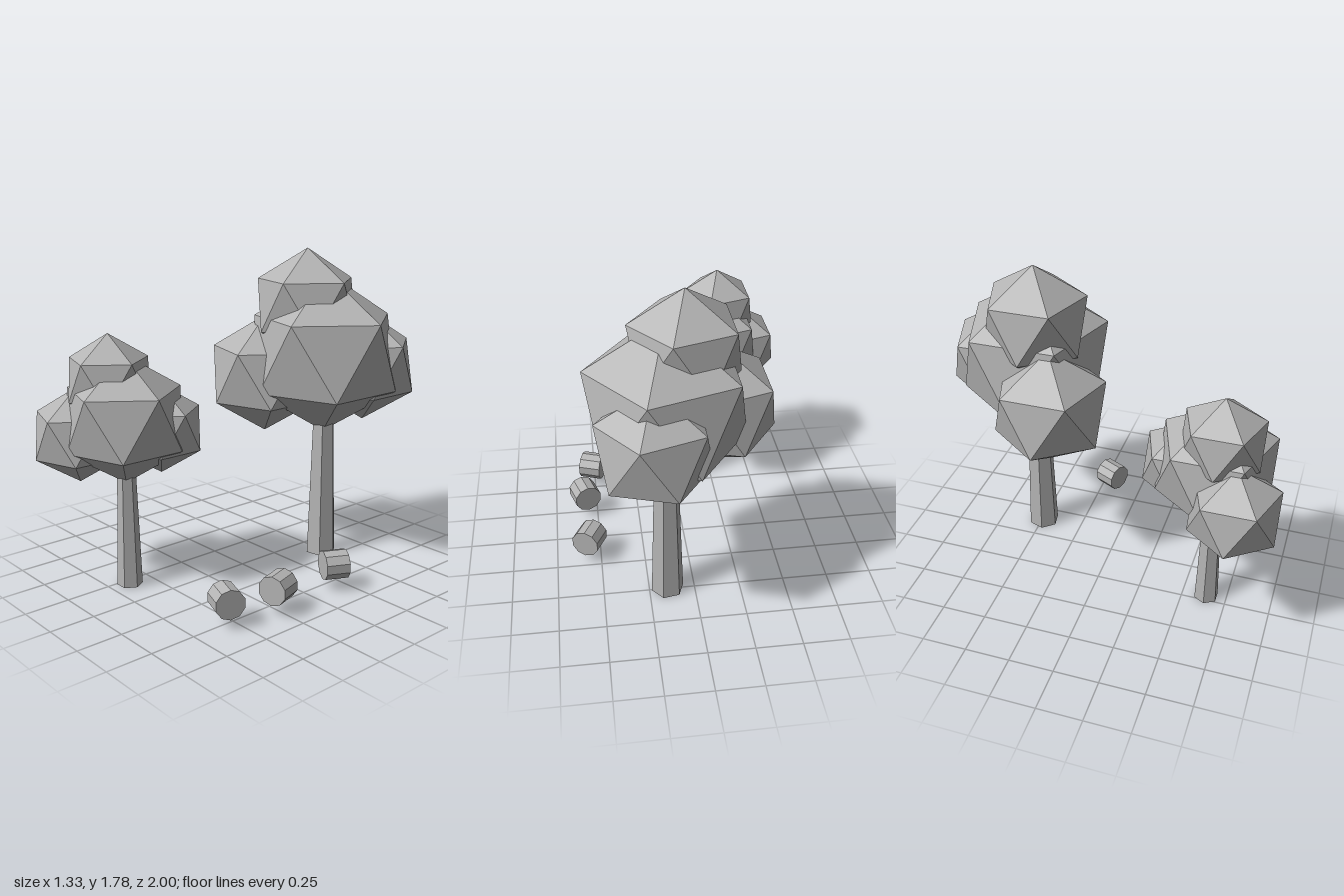
import * as THREE from 'three';

const stone = new THREE.MeshStandardMaterial({ color: 0xb4b4b4 });
stone.name = 'plain grey';

// Separate the faces so that every facet gets its own normal
function faceted(geometry) {
  const flat = geometry.index ? geometry.toNonIndexed() : geometry;
  flat.computeVertexNormals();
  return flat;
}

function part(name, geometry) {
  const mesh = new THREE.Mesh(geometry, stone);
  mesh.name = name;
  return mesh;
}

// Icosahedron standing on one corner, with an upper-ring corner towards +x
function leafClump(name, radius, x, y, z) {
  const geometry = new THREE.IcosahedronGeometry(radius, 0);
  geometry.rotateZ(-Math.atan(2 / (1 + Math.sqrt(5))));
  const mesh = part(name, faceted(geometry));
  mesh.position.set(x, y, z);
  return mesh;
}

// Clumps relative to the trunk axis and the main clump's centre: name, radius, x, y, z
const CLUMPS = [
  ['mainFoliage', 0.455, 0, 0, 0],
  ['topFoliage', 0.315, -0.098, 0.27, 0.05],
  ['frontFoliage', 0.34, -0.29, -0.135, 0.19],
  ['backFoliage', 0.317, 0.085, -0.09, 0.24 * -1],
];

function tree(name, scale, crownY, x, z, trunkTurn) {
  const group = new THREE.Group();
  group.name = name;
  group.position.set(x, 0, z);

  // Tapered six-sided trunk, ending inside the main clump
  const height = crownY - 0.27 * scale;
  const trunkGeometry = new THREE.CylinderGeometry(0.061 * scale, 0.09 * scale, height, 6);
  trunkGeometry.rotateY(THREE.MathUtils.degToRad(trunkTurn));
  const trunk = part('trunk', faceted(trunkGeometry));
  trunk.position.set(0.004, height / 2, 0);
  group.add(trunk);

  // Crown of overlapping clumps
  for (const [clump, r, cx, cy, cz] of CLUMPS) {
    group.add(leafClump(clump, r * scale, cx * scale, crownY + cy * scale, cz * scale));
  }
  return group;
}

// Short log lying level, its axis along (dx, dz)
function log(x, z, dx, dz) {
  const geometry = new THREE.CylinderGeometry(0.08, 0.08, 0.13, 10);
  geometry.rotateX(Math.PI / 2);
  const mesh = part('log', faceted(geometry));
  mesh.position.set(x, 0.135, z);
  mesh.rotation.y = Math.atan2(dx, dz);
  return mesh;
}

export function createModel() {
  const model = new THREE.Group();
  model.name = 'treesAndLogs';

  model.add(tree('largeTree', 1, 1.195, 0.145, -0.49, 40));
  model.add(tree('smallTree', 0.77, 0.93, -0.213, 0.635, 30));

  const logs = new THREE.Group();
  logs.name = 'logs';
  logs.add(log(0.56, -0.17, 0.447, -0.894));
  logs.add(log(0.57, 0.255, 0.29, 0.957));
  logs.add(log(0.51, 0.55, 0.936, 0.35));
  model.add(logs);

  return model;
}
